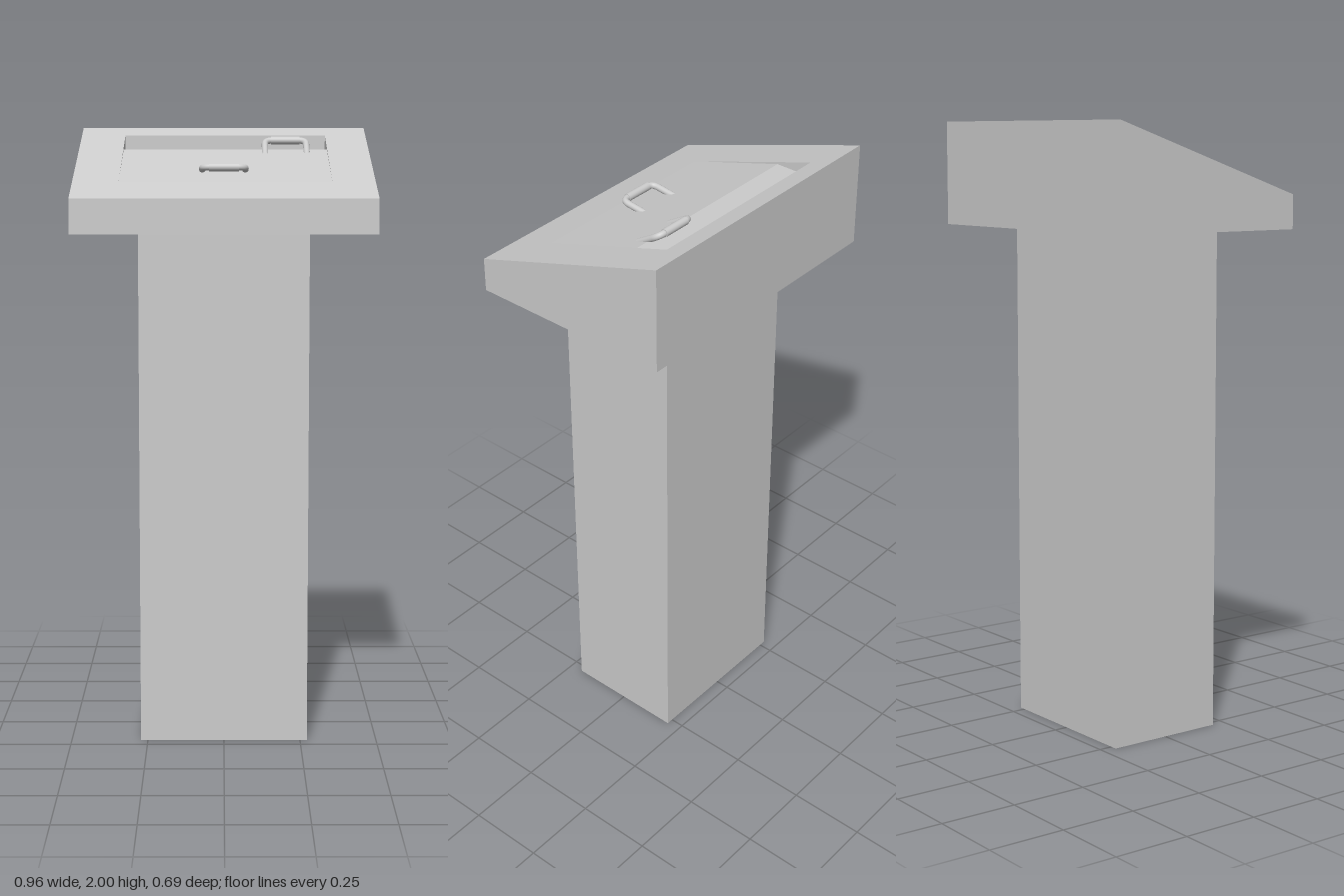
import * as THREE from 'three';
import { mergeGeometries } from 'three/addons/utils/BufferGeometryUtils.js';

const material = new THREE.MeshStandardMaterial({ color: 0xcccccc });

// Flat polygon, fanned from its first corner (counter-clockwise from outside)
function polygon(points) {
  const positions = [];
  for (let i = 1; i < points.length - 1; i++) {
    positions.push(...points[0], ...points[i], ...points[i + 1]);
  }
  const geometry = new THREE.BufferGeometry();
  geometry.setAttribute('position', new THREE.Float32BufferAttribute(positions, 3));
  return geometry;
}

// A [z, y] outline placed at x; flip reverses it to face -x
function sidePanel(x, outline, flip) {
  const points = outline.map(([z, y]) => [x, y, z]);
  if (flip) points.push(...points.splice(1).reverse());
  return polygon(points);
}

// Panel spanning x0..x1 between two [z, y] edges
function span(x0, x1, [za, ya], [zb, yb]) {
  return polygon([[x0, ya, za], [x1, ya, za], [x1, yb, zb], [x0, yb, zb]]);
}

function named(name, geometry) {
  const mesh = new THREE.Mesh(geometry, material);
  mesh.name = name;
  return mesh;
}

function finish(parts) {
  const geometry = mergeGeometries(parts);
  geometry.computeVertexNormals();
  return geometry;
}

const W = 0.48, D = 0.343, BASE = 1.66, FRONT = 1.77, BACK = 2;
const topY = (z) => FRONT + (BACK - FRONT) * (D - z) / (2 * D);

// Recess limits and the fold between its level and sloping floor
const X0 = -0.333, X1 = 0.343, Z0 = -0.265, Z1 = 0.193;
const FOLD = [-0.14, 1.925];

function headShell() {
  // Sloping top face with the recess opening
  const face = new THREE.Shape([[-W, -D], [W, -D], [W, D], [-W, D]].map((p) => new THREE.Vector2(...p)));
  face.holes.push(new THREE.Path([[X0, -Z1], [X0, -Z0], [X1, -Z0], [X1, -Z1]].map((p) => new THREE.Vector2(...p))));
  const top = new THREE.ShapeGeometry(face).toNonIndexed().rotateX(-Math.PI / 2);
  top.deleteAttribute('uv');
  top.deleteAttribute('normal');
  const p = top.attributes.position;
  for (let i = 0; i < p.count; i++) p.setY(i, topY(p.getZ(i)));

  const side = [[D, BASE], [-D, BASE], [-D, BACK], [D, FRONT]];
  return finish([
    top,
    sidePanel(W, side, false),
    sidePanel(-W, side, true),
    span(-W, W, [D, BASE], [D, FRONT]),
    span(-W, W, [-D, BACK], [-D, BASE]),
    span(-W, W, [-D, BASE], [D, BASE]),
  ]);
}

function recess() {
  const wall = [FOLD, [Z0, FOLD[1]], [Z0, topY(Z0)], [Z1, topY(Z1)]];
  return finish([
    span(X0, X1, [Z1, topY(Z1)], FOLD),
    span(X0, X1, FOLD, [Z0, FOLD[1]]),
    span(X0, X1, [Z0, FOLD[1]], [Z0, topY(Z0)]),
    sidePanel(X0, wall, false),
    sidePanel(X1, wall, true),
  ]);
}

// U-shaped pull handle: legs run from foot [z, y] to the grip at bar [z, y]
function handle(name, x, foot, bar) {
  const group = new THREE.Group();
  group.name = name;
  const at = (dx, t) => new THREE.Vector3(
    x + dx,
    THREE.MathUtils.lerp(foot[1], bar[1], t),
    THREE.MathUtils.lerp(foot[0], bar[0], t),
  );
  const half = 0.069, bend = 0.026;
  const t = 1 - bend / Math.hypot(bar[0] - foot[0], bar[1] - foot[1]);
  const path = new THREE.CurvePath();
  path.add(new THREE.LineCurve3(at(-half, 0), at(-half, t)));
  path.add(new THREE.QuadraticBezierCurve3(at(-half, t), at(-half, 1), at(bend - half, 1)));
  path.add(new THREE.LineCurve3(at(bend - half, 1), at(half - bend, 1)));
  path.add(new THREE.QuadraticBezierCurve3(at(half - bend, 1), at(half, 1), at(half, t)));
  path.add(new THREE.LineCurve3(at(half, t), at(half, 0)));
  group.add(named('handleRod', new THREE.TubeGeometry(path, 72, 0.0105, 16)));

  const grip = named('handleGrip', new THREE.CylinderGeometry(0.0128, 0.0128, 0.096, 20));
  grip.rotation.z = Math.PI / 2;
  grip.position.copy(at(0, 1));
  group.add(grip);
  return group;
}

export function createModel() {
  const model = new THREE.Group();
  model.name = 'lectern';

  // Pedestal
  const pedestal = named('pedestal', new THREE.BoxGeometry(0.545, BASE, 0.408));
  pedestal.position.y = BASE / 2;
  model.add(pedestal);

  // Slanted head with its sunken panel
  model.add(named('head', headShell()), named('recess', recess()));

  // Front and rear pulls
  model.add(handle('frontHandle', 0, [0.04, 1.852], [0.146, 1.866]));
  model.add(handle('rearHandle', 0.206, [-0.1, 1.906], [-0.179, 1.955]));
  return model;
}
